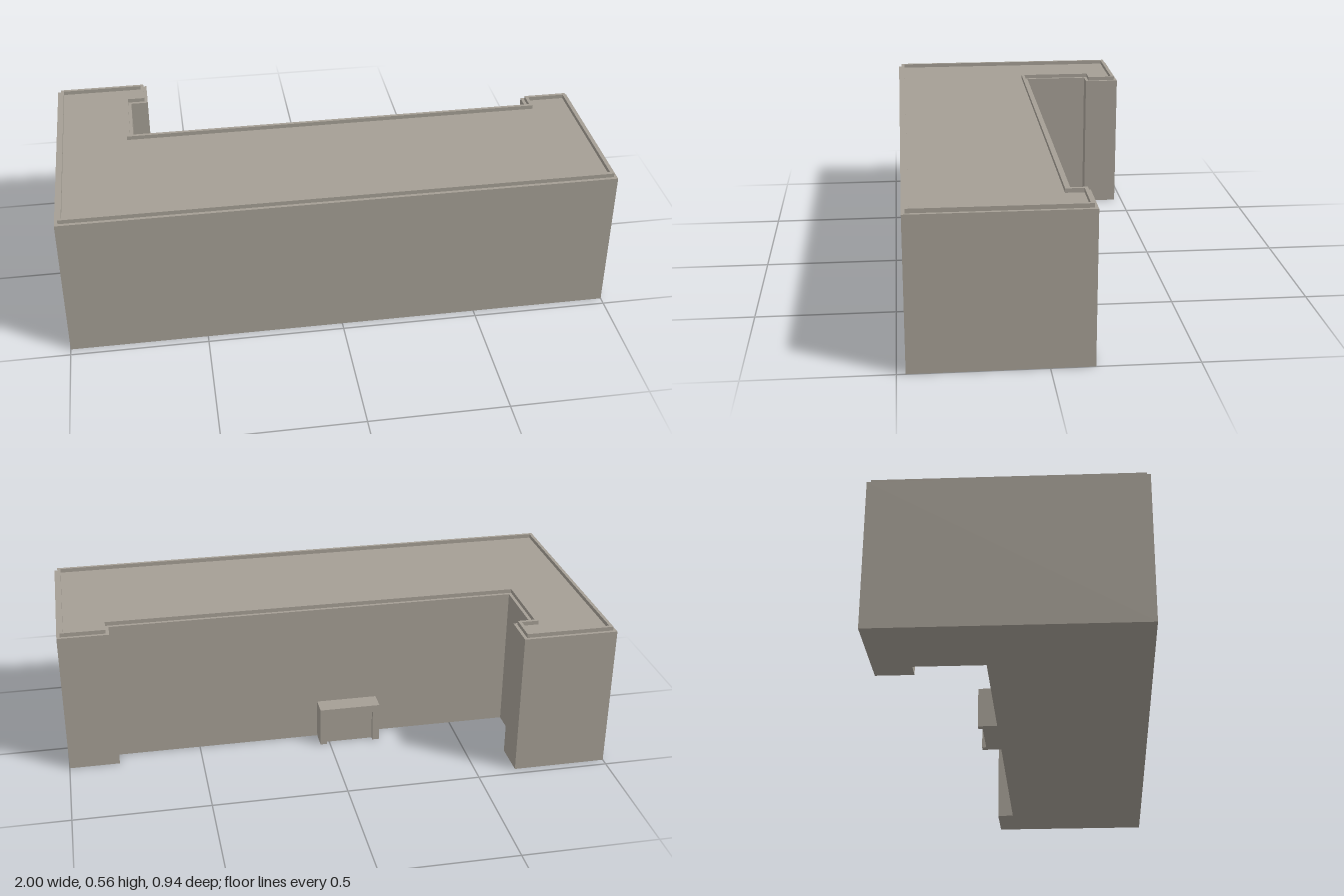
import * as THREE from 'three';

// Building outline, counter-clockwise, as [x, -z]
const OUTLINE = [
  [-1, -0.47], [1, -0.47], [1, 0.15], [0.812, 0.15], [0.812, 0.086],
  [-0.714, 0.086], [-0.714, 0.335], [-0.65, 0.335], [-0.65, 0.47], [-1, 0.47],
];
const WALL_TOP = 0.546;
const PARAPET_TOP = 0.561;

// Moves every corner of a right-angled outline inwards by d
function inset(points, d) {
  const n = points.length;
  const normal = (a, b) => {
    const dx = b[0] - a[0], dy = b[1] - a[1], l = Math.hypot(dx, dy);
    return [-dy / l, dx / l];
  };
  return points.map((p, i) => {
    const a = normal(points[(i + n - 1) % n], p);
    const b = normal(p, points[(i + 1) % n]);
    return [p[0] + d * (a[0] + b[0]), p[1] + d * (a[1] + b[1])];
  });
}

const toVectors = (points) => points.map(([x, y]) => new THREE.Vector2(x, y));

// Upright prism over a ground plan, optionally with a hole
function prism(points, y0, y1, hole) {
  const shape = new THREE.Shape(toVectors(points));
  if (hole) shape.holes.push(new THREE.Path(toVectors(hole)));
  const geometry = new THREE.ExtrudeGeometry(shape, { depth: y1 - y0, bevelEnabled: false });
  return geometry.rotateX(-Math.PI / 2).translate(0, y0, 0);
}

export function createModel() {
  const model = new THREE.Group();
  model.name = 'building';
  const stone = new THREE.MeshStandardMaterial({ color: 0xa49e94 });
  stone.name = 'warm grey stone';

  const add = (name, geometry, parent = model) => {
    const mesh = new THREE.Mesh(geometry, stone);
    mesh.name = name;
    parent.add(mesh);
  };

  // Main volume and the thin parapet set back from its edge
  add('walls', prism(OUTLINE, 0, WALL_TOP));
  add('parapet', prism(inset(OUTLINE, 0.012), WALL_TOP, PARAPET_TOP, inset(OUTLINE, 0.024)));

  // Rear entrance: a solid core behind a frame that leaves a shallow doorway
  const porch = new THREE.Group();
  porch.name = 'rearPorch';
  model.add(porch);
  const x0 = -0.195, x1 = 0.037, top = 0.152;
  const back = -0.158, wall = -0.086, recess = 0.016, side = 0.026, lintel = 0.028;
  const coreDepth = wall - back - recess;
  add('porchCore', new THREE.BoxGeometry(x1 - x0, top, coreDepth)
    .translate((x0 + x1) / 2, top / 2, wall - coreDepth / 2), porch);
  const frame = new THREE.Shape(toVectors([
    [x0, 0], [x0 + side, 0], [x0 + side, top - lintel], [x1 - side, top - lintel],
    [x1 - side, 0], [x1, 0], [x1, top], [x0, top],
  ]));
  add('doorFrame', new THREE.ExtrudeGeometry(frame, { depth: recess, bevelEnabled: false })
    .translate(0, 0, back), porch);

  return model;
}
